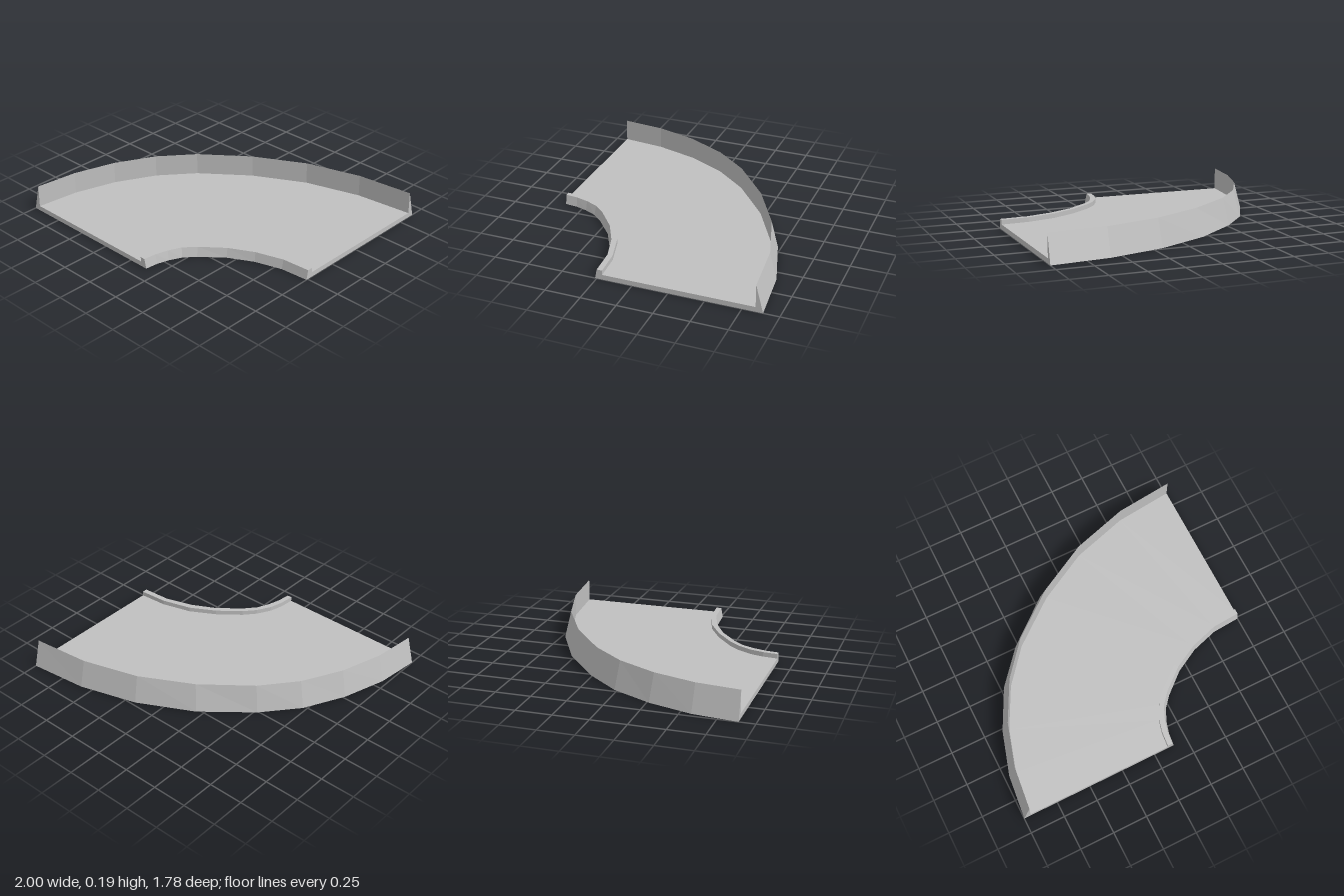
import * as THREE from 'three';

// Plan outlines [x, z], from the back-left end round to the front-right end
const outerFoot = [[1, -0.89], [0.585, -0.845], [0.18, -0.725], [-0.2, -0.525], [-0.52, -0.26], [-0.725, -0.02], [-0.87, 0.265], [-0.965, 0.575], [-1, 0.89]];
const outerRim = [[1, -0.84], [0.59, -0.797], [0.195, -0.68], [-0.165, -0.485], [-0.485, -0.23], [-0.68, 0.005], [-0.825, 0.285], [-0.915, 0.585], [-0.95, 0.89]];
const kerbBack = [[1, 0.21], [0.8, 0.225], [0.59, 0.285], [0.415, 0.385], [0.26, 0.51], [0.19, 0.59], [0.135, 0.69], [0.11, 0.785], [0.1, 0.89]];
const kerbFront = [[1, 0.248], [0.8, 0.262], [0.605, 0.322], [0.435, 0.412], [0.28, 0.54], [0.21, 0.62], [0.17, 0.71], [0.145, 0.8], [0.135, 0.89]];
const innerFoot = [[1, 0.262], [0.8, 0.277], [0.61, 0.335], [0.44, 0.427], [0.29, 0.555], [0.225, 0.63], [0.185, 0.715], [0.16, 0.8], [0.15, 0.89]];

const RIM_Y = 0.195, FLOOR_Y = 0.035, KERB_Y = 0.068;
const rail = (outline, y) => outline.map(([x, z]) => new THREE.Vector3(x, y, z));

// Flat-faced surface: strips between neighbouring rails, plus convex end caps
function surface(strips, cap) {
  const pts = [];
  for (const [a, b] of strips) {
    for (let i = 0; i < a.length - 1; i++) {
      pts.push(a[i], a[i + 1], b[i], a[i + 1], b[i + 1], b[i]);
    }
  }
  const last = cap[0].length - 1;
  for (let k = 1; k < cap.length - 1; k++) {
    pts.push(cap[0][0], cap[k][0], cap[k + 1][0]);
    pts.push(cap[0][last], cap[k + 1][last], cap[k][last]);
  }
  const geometry = new THREE.BufferGeometry().setFromPoints(pts);
  geometry.computeVertexNormals();
  return geometry;
}

export function createModel() {
  const group = new THREE.Group();
  group.name = 'curvedTrackCorner';
  const grey = new THREE.MeshStandardMaterial({ color: 0xbfbfbf });
  grey.name = 'grey';

  const foot = rail(outerFoot, 0);
  const rim = rail(outerRim, RIM_Y);
  const floorOuter = rail(outerRim, FLOOR_Y);
  const floorInner = rail(kerbBack, FLOOR_Y);
  const kerbTopBack = rail(kerbBack, KERB_Y);
  const kerbTopFront = rail(kerbFront, KERB_Y);
  const inner = rail(innerFoot, 0);

  const add = (name, strips, cap) => {
    const mesh = new THREE.Mesh(surface(strips, cap), grey);
    mesh.name = name;
    group.add(mesh);
  };

  // Tall wedge-shaped wall round the outside of the bend
  add('outerWall', [[foot, rim], [rim, floorOuter]], [foot, rim, floorOuter]);
  // Flat floor slab with its underside
  add('floor', [[floorOuter, floorInner], [inner, foot]], [foot, floorOuter, floorInner, inner]);
  // Low kerb round the inside of the bend
  add('innerKerb',
    [[floorInner, kerbTopBack], [kerbTopBack, kerbTopFront], [kerbTopFront, inner]],
    [floorInner, kerbTopBack, kerbTopFront, inner]);

  return group;
}
